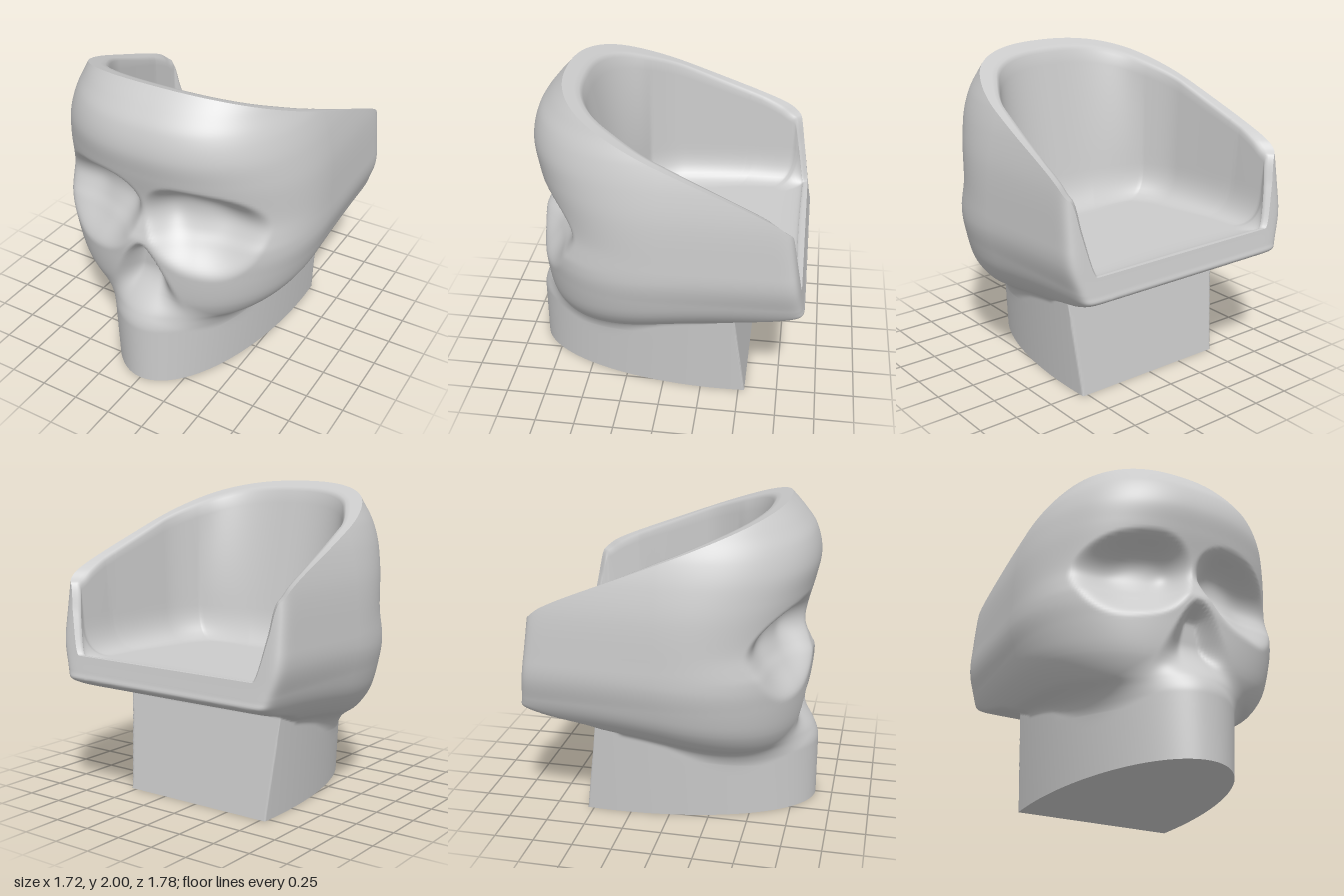
import * as THREE from 'three';

const { smoothstep, lerp, clamp } = THREE.MathUtils;

// Smooth curve through [position, value] knots, clamped at both ends
function curve(k) {
  const slope = (i) => {
    const a = k[Math.max(i - 1, 0)], b = k[Math.min(i + 1, k.length - 1)];
    return (b[1] - a[1]) / (b[0] - a[0]);
  };
  return (t) => {
    if (t <= k[0][0]) return k[0][1];
    if (t >= k[k.length - 1][0]) return k[k.length - 1][1];
    let i = 0;
    while (t > k[i + 1][0]) i++;
    const h = k[i + 1][0] - k[i][0], s = (t - k[i][0]) / h, s2 = s * s, s3 = s2 * s;
    return (2 * s3 - 3 * s2 + 1) * k[i][1] + (s3 - 2 * s2 + s) * h * slope(i)
      + (3 * s2 - 2 * s3) * k[i + 1][1] + (s3 - s2) * h * slope(i + 1);
  };
}

// Head profiles: half-width (lower part above the neck line, upper part by height), front and back depth
const widthLow = curve([[-0.15, 0.42], [-0.05, 0.53], [0, 0.6], [0.05, 0.68], [0.15, 0.765], [0.25, 0.81], [0.45, 0.855], [0.6, 0.862]]);
const widthHigh = curve([[1, 0.862], [1.1, 0.86], [1.4, 0.845], [1.6, 0.81], [1.75, 0.765], [1.86, 0.715], [1.92, 0.69], [2, 0.65]]);
const frontDepth = curve([[0.25, 0.5], [0.4, 0.68], [0.5, 0.75], [0.6, 0.79], [0.7, 0.81], [0.85, 0.825], [1.03, 0.835],
  [1.1, 0.81], [1.2, 0.775], [1.3, 0.78], [1.5, 0.83], [1.65, 0.855], [1.8, 0.82], [1.9, 0.75], [2, 0.66]]);
const backDepth = curve([[0.58, 0.3], [0.64, 0.45], [0.66, 0.5], [0.685, 0.6], [0.72, 0.75], [0.76, 0.855], [0.785, 0.888],
  [0.82, 0.882], [0.95, 0.86], [1.38, 0.8], [1.6, 0.79]]);
// Height of the sloping rim along z
const rimSlope = curve([[-0.82, 1.3], [-0.8, 1.36], [-0.76, 1.405], [-0.7, 1.45], [-0.55, 1.52], [-0.2, 1.659], [0.3, 1.857], [0.66, 2]]);

// Polar radius of a D: rounded front, boxy back
function dRadius(phi, w, front, back, nFront, nBack) {
  const s = Math.abs(Math.sin(phi)), c = Math.cos(phi);
  const n = c > 0 ? nFront : nBack;
  return ((s / w) ** n + (Math.abs(c) / (c > 0 ? front : back)) ** n) ** (-1 / n);
}

// Neck line, rising towards the back
const neckLine = (c) => 0.545 - (c > 0 ? 0.1 : 0.15) * c;

function baseRadius(phi, y) {
  const s = Math.sin(phi), c = Math.cos(phi), w = 0.54 + 0.08 * y, z0 = 0.37, d = 1.26;
  const A = (s / w) ** 2 + (c / d) ** 2, B = (c * z0) / d ** 2, C = (z0 / d) ** 2 - 1;
  let r = (-B + Math.sqrt(B * B - A * C)) / A;
  if (c < 0) r = Math.min(r, (0.54 - 0.13 * y) / -c);
  // Rounded upper jaw, then fading away inside the head
  return r * (1 - 0.2 * Math.max(c, 0) * smoothstep(y, 0.4, 0.8)) * (1 - 0.5 * smoothstep(y, 0.75, 1.1));
}

// Depth of eye sockets and nose cavity
function cavity(x, y) {
  x = Math.abs(x);
  const dy = y - 1.2 + 0.12 * (x - 0.36);
  const eye = Math.abs((x - 0.36) / 0.345) ** 2.6 + (dy > 0 ? (dy / 0.24) ** 2 : (-dy / 0.33) ** 1.7);
  let d = 0.16 * smoothstep(1 - eye, -0.1, 1);
  if (y < 1.03) {
    const q = x / (0.27 * ((1.03 - y) / 0.42) ** 0.7);
    d += 0.12 * smoothstep(1 - q, 0, 0.65) * smoothstep(y, 0.5, 0.78) * smoothstep(1.03 - y, 0, 0.12);
  }
  return d;
}

function outerRadius(phi, y) {
  const c = Math.cos(phi), rear = Math.max(-c, 0);
  const low = widthLow(y - neckLine(c) + 0.07 * rear);
  const w = lerp(low, widthHigh(y), smoothstep(y, 0.85, 1.15)) * (1 - 0.025 * rear);
  const head = dRadius(phi, w, frontDepth(y), backDepth(y), 2.35, 26);
  const base = baseRadius(phi, y);
  const k = 0.04 + 0.08 * Math.max(c, 0), h = Math.max(k - Math.abs(head - base), 0) / k;
  const r = Math.max(head, base) + h * h * k * 0.25;
  return c > 0 ? r - cavity(r * Math.sin(phi), y) : r;
}

const LIP = 0.93;
function rimHeight(phi) {
  let lo = 0.8, hi = 2;
  for (let i = 0; i < 30; i++) {
    const y = (lo + hi) / 2, r = outerRadius(phi, y);
    const z = r * Math.cos(phi), x = Math.abs(r * Math.sin(phi));
    let target = rimSlope(z);
    if (z < -0.6) target = LIP + (target - LIP) * smoothstep(x, 0.67, 0.8);
    if (y < target) lo = y; else hi = y;
  }
  return lo;
}

// Column angles, denser around the arm ends, mirrored left to right
function columnAngles() {
  const half = [];
  for (const [a, b, n] of [[0, 2.1, 110], [2.1, 2.55, 80], [2.55, Math.PI, 20]])
    for (let i = 0; i < n; i++) half.push(lerp(a, b, i / n));
  return [...half, Math.PI, ...half.slice(1).reverse().map((a) => 2 * Math.PI - a)];
}

// Skin over closed columns; each column is a list of [radius, height]
function skin(angles, columns) {
  const pos = [], index = [], rows = columns[0].length, n = angles.length;
  columns.forEach((col, j) => col.forEach(([r, y]) =>
    pos.push(r * Math.sin(angles[j]), y, r * Math.cos(angles[j]))));
  for (let j = 0; j < n; j++) {
    const k = (j + 1) % n;
    for (let i = 0; i < rows - 1; i++) {
      const a = j * rows + i, b = k * rows + i;
      index.push(a, b, b + 1, a, b + 1, a + 1);
    }
  }
  const g = new THREE.BufferGeometry();
  g.setAttribute('position', new THREE.Float32BufferAttribute(pos, 3));
  g.setIndex(index);
  g.computeVertexNormals();
  return g;
}

// Base and head from the ground up to the rim
function shellColumn(phi, rim) {
  const neck = neckLine(Math.cos(phi)), ya = neck - 0.12, yb = neck + 0.18, col = [];
  for (const [a, b, n] of [[0, ya, 10], [ya, yb, 30], [yb, rim, 74]])
    for (let i = 0; i < n; i++) {
      const y = lerp(a, b, i / n);
      col.push([outerRadius(phi, y), y]);
    }
  col.push([outerRadius(phi, rim), rim]);
  return col;
}

// Rim band, inner wall, fillet and seat floor
function liningColumn(phi, rim) {
  const r = outerRadius(phi, rim), floorY = 0.9;
  const s = Math.abs(Math.sin(phi)), c = Math.cos(phi);
  let inner = r - 0.08 - 0.04 * smoothstep(c, 0, 0.5) + 0.04 * smoothstep(-c, 0.6, 0.8);
  if (c < 0) inner = Math.min(inner, 0.75 / s);
  const t = r - inner, innerY = rim - 0.397 * t * Math.max(c, 0);
  const foot = Math.min(dRadius(phi, 0.73, 0.31, 0.83, 2.6, 20), inner - 0.02);
  const col = [0, 0.1, 0.6, 0.85].map((f) => [r - t * f, lerp(rim, innerY, f)]);
  // Straight wall down to the fillet
  const len = Math.hypot(inner - foot, innerY - floorY);
  const f = clamp(0.23 / len, 0, 0.8);
  const start = [lerp(foot, inner, f), lerp(floorY, innerY, f)];
  const top = 1 - Math.min(0.02 / len, 0.15);
  for (let i = 0; i <= 10; i++) {
    const k = lerp(top, f, i / 10);
    col.push([lerp(foot, inner, k), lerp(floorY, innerY, k)]);
  }
  const end = foot - Math.min(0.18, foot * 0.5);
  for (let i = 1; i <= 10; i++) {
    const k = i / 10, a = (1 - k) ** 2, b = 2 * k * (1 - k), e = k * k;
    col.push([a * start[0] + b * foot + e * end, a * start[1] + (b + e) * floorY]);
  }
  for (const k of [0.6, 0.3, 0.001]) col.push([end * k, floorY]);
  return col;
}

export function createModel() {
  const group = new THREE.Group();
  const material = new THREE.MeshStandardMaterial({ color: 0xcccccc });
  const angles = columnAngles();
  const rims = angles.map(rimHeight);
  const add = (name, columns) => {
    const mesh = new THREE.Mesh(skin(angles, columns), material);
    mesh.name = name;
    group.add(mesh);
  };
  add('skullShell', angles.map((a, j) => shellColumn(a, rims[j])));
  add('seatLining', angles.map((a, j) => liningColumn(a, rims[j])));
  add('baseUnderside', angles.map((a) => [[0.001, 0], [outerRadius(a, 0), 0]]));
  return group;
}
